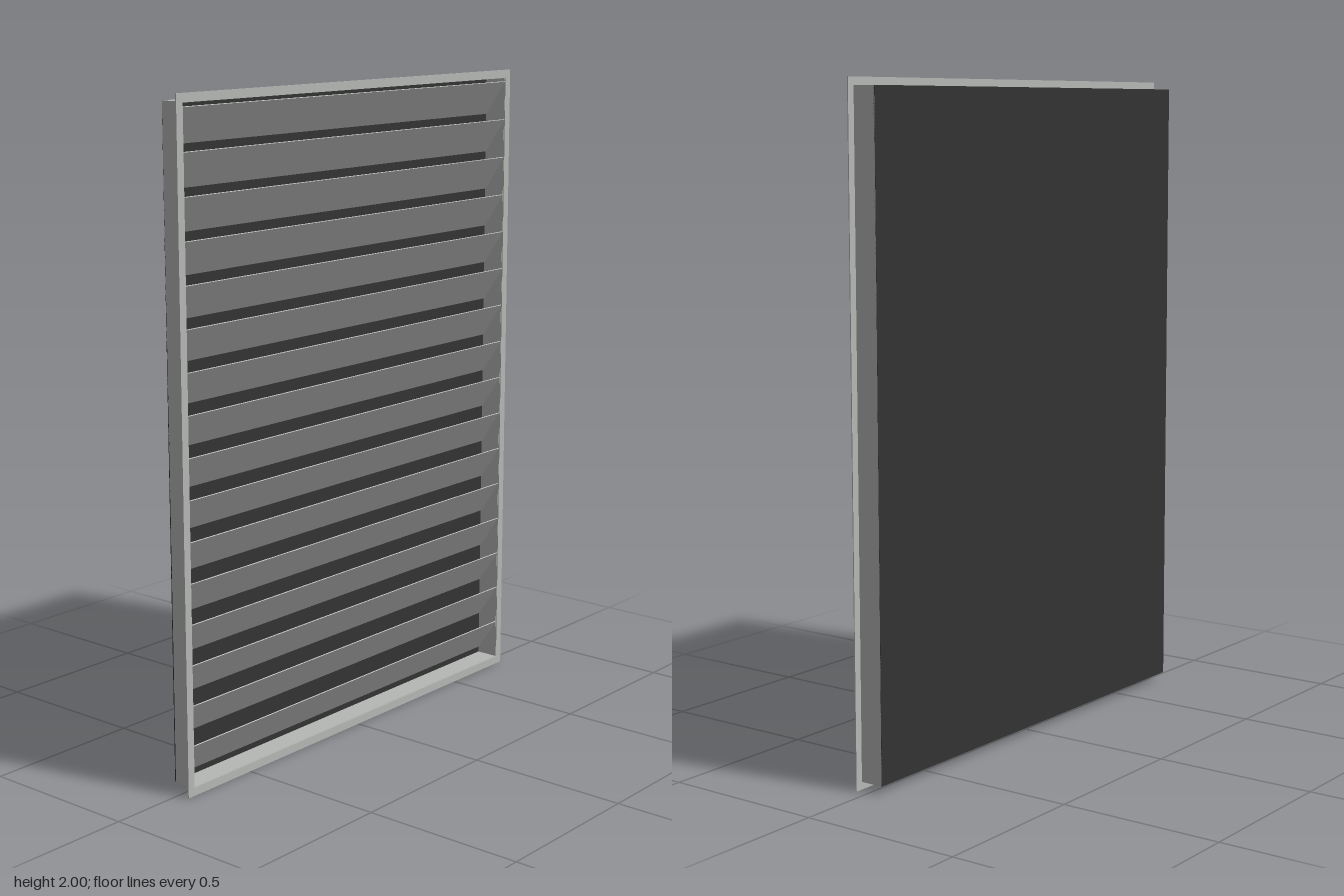
import * as THREE from 'three';

const W = 1.474, H = 1.954, DEPTH = 0.076, SHEET = 0.003;

// Rectangular ring, extruded along z and centred on x and y
function ring(w, h, border, depth) {
  const rect = (T, rw, rh) => new T([
    new THREE.Vector2(-rw / 2, -rh / 2), new THREE.Vector2(rw / 2, -rh / 2),
    new THREE.Vector2(rw / 2, rh / 2), new THREE.Vector2(-rw / 2, rh / 2),
  ]);
  const shape = rect(THREE.Shape, w, h);
  shape.holes.push(rect(THREE.Path, w - 2 * border, h - 2 * border));
  return new THREE.ExtrudeGeometry(shape, { depth, bevelEnabled: false });
}

export function createModel() {
  const group = new THREE.Group();
  const metal = new THREE.MeshStandardMaterial({ color: 0xb5b8b5 });
  metal.name = 'grey metal';
  const dark = new THREE.MeshStandardMaterial({ color: 0x333333 });
  dark.name = 'dark backing';

  const add = (name, geometry, material, y, z) => {
    const mesh = new THREE.Mesh(geometry, material);
    mesh.name = name;
    mesh.position.set(0, y, z);
    group.add(mesh);
    return mesh;
  };

  // Thin front flange and the sleeve behind it
  add('flange', ring(1.52, 2, 0.025, SHEET), metal, 1, DEPTH / 2 - SHEET);
  add('sleeve', ring(W, H, SHEET, DEPTH - SHEET), metal, 1, -DEPTH / 2);

  // Backing sheet closing the sleeve
  add('backPanel', new THREE.BoxGeometry(W, H, SHEET), dark, 1, -DEPTH / 2 + SHEET / 2 - 0.0005);

  // Slanted slats: top edge at the front, bottom edge at the back
  const slats = 16, pitch = 0.1208, drop = 0.105, run = 0.07;
  const slatGeometry = new THREE.BoxGeometry(W - 2 * SHEET, Math.hypot(drop, run), SHEET);
  for (let i = 0; i < slats; i++) {
    const slat = add('slat', slatGeometry, metal, 1.963 - drop / 2 - i * pitch, 0.001);
    slat.rotation.x = Math.atan2(run, drop);
  }
  return group;
}
